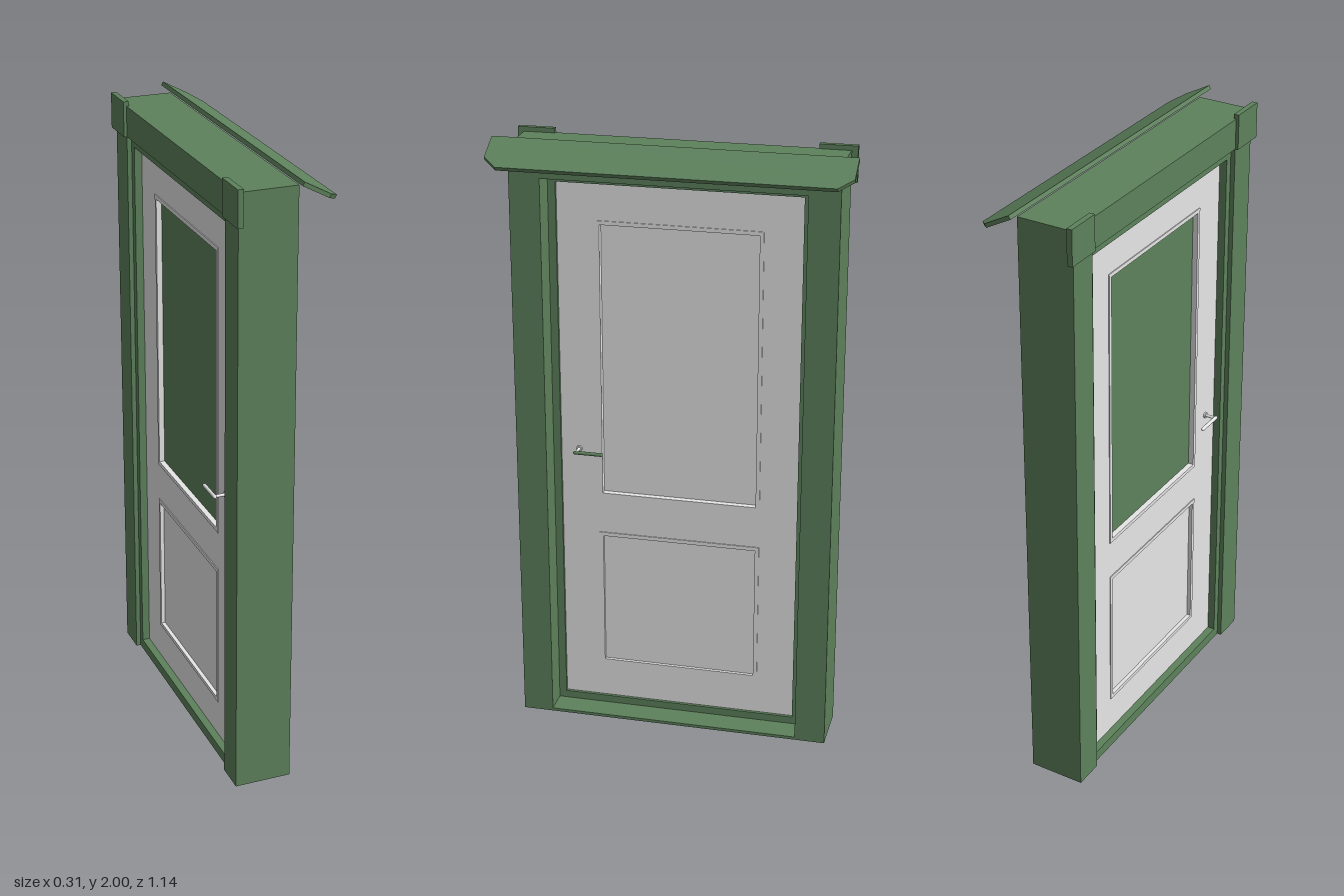
import * as THREE from 'three';

export function createModel() {
  const door = new THREE.Group();
  door.name = 'doorWithFrame';
  const mat = (name, color) => Object.assign(new THREE.MeshStandardMaterial({ color }), { name });
  const green = mat('green paint', 0x5e825c);
  const white = mat('white paint', 0xe6e6e6);

  const add = (name, geo, material, parent = door) => {
    const m = new THREE.Mesh(geo, material);
    m.name = name;
    parent.add(m);
    return m;
  };
  // Box given by its limits on each axis
  const box = (name, [x0, x1], [y0, y1], [z0, z1], material, parent) => {
    const g = new THREE.BoxGeometry(x1 - x0, y1 - y0, z1 - z0);
    g.translate((x0 + x1) / 2, (y0 + y1) / 2, (z0 + z1) / 2);
    return add(name, g, material, parent);
  };
  // Upright rectangle centred on z = 0
  const rect = (Type, w, y0, y1) => {
    const s = new Type();
    s.moveTo(-w, y0);
    s.lineTo(w, y0);
    s.lineTo(w, y1);
    s.lineTo(-w, y1);
    s.closePath();
    return s;
  };
  // Upright slab with rectangular holes, from x0 to x1
  const slab = (name, outer, holes, x0, x1, material) => {
    const s = rect(THREE.Shape, ...outer);
    holes.forEach((h) => s.holes.push(rect(THREE.Path, ...h)));
    const g = new THREE.ExtrudeGeometry(s, { depth: x1 - x0, bevelEnabled: false });
    g.rotateY(Math.PI / 2);
    g.translate(x0, 0, 0);
    return add(name, g, material);
  };

  // Outer frame: jambs, header and sill
  for (const [name, a, b] of [['leftJamb', 0.42, 0.52], ['rightJamb', -0.52, -0.42]]) {
    box(name, [-0.145, 0.04], [0, 1.975], [a, b], green);
  }
  box('header', [-0.145, 0.04], [1.875, 1.975], [-0.42, 0.42], green);
  box('sill', [-0.13, 0.04], [0, 0.01], [-0.42, 0.42], green);

  // Inner frame around the leaf
  slab('innerFrame', [0.42, 0.01, 1.875], [[0.395, 0.035, 1.845]], -0.13, -0.045, green);

  // Corner blocks on the back of the header
  for (const s of [-1, 1]) {
    box('cornerBlock', [-0.155, -0.137], [1.875, 1.99], [s * 0.48 - 0.06, s * 0.48 + 0.06], green);
  }

  // Sloping canopy with clipped outer corners
  const c = new THREE.Shape([
    [0, -0.57], [0.094, -0.57], [0.137, -0.525], [0.137, 0.525], [0.094, 0.57], [0, 0.57],
  ].map((p) => new THREE.Vector2(...p)));
  const canopy = new THREE.ExtrudeGeometry(c, { depth: 0.013, bevelEnabled: false });
  canopy.rotateX(-Math.PI / 2);
  canopy.rotateZ(-0.495);
  canopy.translate(0.028, 1.988, 0);
  add('canopy', canopy, green);

  // Door leaf with its two panel openings
  const upper = [0.27, 0.78, 1.725], lower = [0.27, 0.16, 0.65];
  slab('doorLeaf', [0.395, 0.035, 1.845], [upper, lower], -0.105, -0.055, white);

  // Mouldings and recessed panels
  for (const [label, [w, y0, y1], front, back] of [['upper', upper, -0.073, -0.087], ['lower', lower, -0.063, -0.095]]) {
    const t = 0.013;
    slab(label + 'Moulding', [w, y0, y1], [[w - t, y0 + t, y1 - t]], -0.108, -0.052, white);
    slab(label + 'Panel', [w - t, y0 + t, y1 - t], [], back, front, white);
  }
  // Green face on the back of the upper panel
  box('upperPanelBack', [-0.09, -0.087], [0.793, 1.712], [-0.257, 0.257], green);

  // Lever handles on both sides
  for (const [name, face, dir, material] of [['frontHandle', -0.055, 1, green], ['backHandle', -0.105, -1, white]]) {
    const h = new THREE.Group();
    h.name = name;
    h.position.set(face, 0.945, 0.335);
    h.scale.setScalar(1);
    h.rotation.y = 0;
    const rod = (part, r, len, x, m) => {
      const g = new THREE.CylinderGeometry(r, r, len, 16);
      g.rotateZ(Math.PI / 2);
      g.translate(dir * x, 0, 0);
      add(part, g, m, h);
    };
    rod('rosette', 0.01, 0.006, 0.003, white);
    rod('neck', 0.005, 0.04, 0.02, white);
    const lever = new THREE.CapsuleGeometry(0.006, 0.088, 4, 12);
    lever.rotateX(Math.PI / 2);
    lever.translate(dir * 0.04, 0, -0.04);
    add('lever', lever, material, h);
    door.add(h);
  }
  return door;
}
